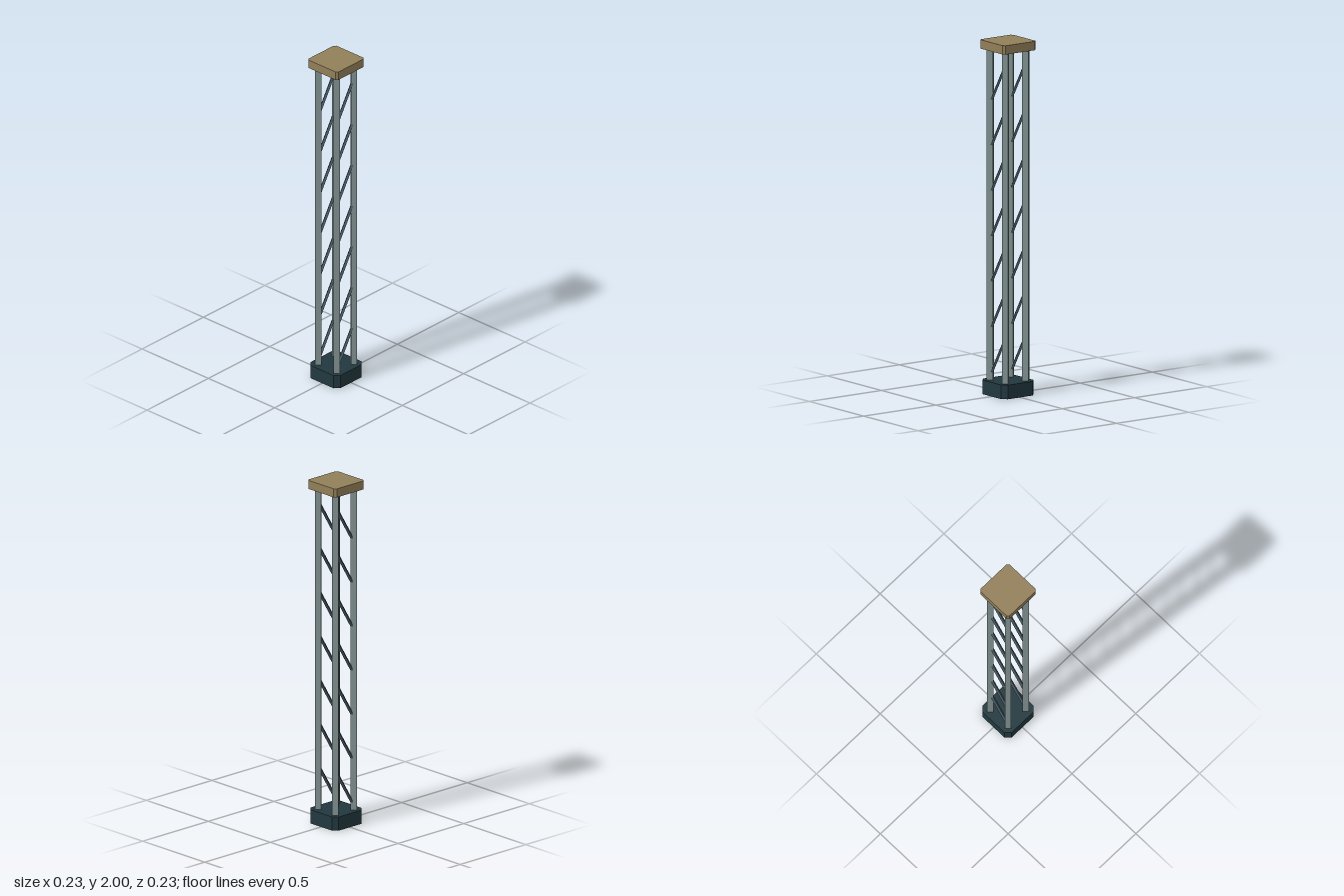
import * as THREE from 'three';

const material = (name, color) => {
  const m = new THREE.MeshStandardMaterial({ color, flatShading: true });
  m.name = name;
  return m;
};

// Square block with cut vertical corners, standing on y
function chamferedBlock(name, half, cut, y, height, mat) {
  const inner = half - cut;
  const shape = new THREE.Shape([
    [inner, -half], [half, -inner], [half, inner], [inner, half],
    [-inner, half], [-half, inner], [-half, -inner], [-inner, -half],
  ].map(([px, py]) => new THREE.Vector2(px, py)));
  const geo = new THREE.ExtrudeGeometry(shape, { depth: height, bevelEnabled: false });
  geo.rotateX(-Math.PI / 2);
  const mesh = new THREE.Mesh(geo, mat);
  mesh.name = name;
  mesh.position.y = y;
  return mesh;
}

// Four-sided bar between two points
function bar(name, from, to, radius, mat) {
  const dir = to.clone().sub(from);
  const mesh = new THREE.Mesh(new THREE.CylinderGeometry(radius, radius, dir.length(), 4), mat);
  mesh.name = name;
  mesh.position.copy(from).add(to).multiplyScalar(0.5);
  mesh.quaternion.setFromUnitVectors(new THREE.Vector3(0, 1, 0), dir.normalize());
  return mesh;
}

export function createModel() {
  const baseMat = material('dark slate', 0x21383f);
  const postMat = material('grey steel', 0x829392);
  const braceMat = material('blue grey steel', 0x465a64);
  const capMat = material('tan', 0x927f59);

  const group = new THREE.Group();
  group.name = 'latticeColumn';

  // Foot and top cap
  group.add(chamferedBlock('base', 0.113, 0.027, 0, 0.08, baseMat));
  group.add(chamferedBlock('cap', 0.113, 0.012, 1.95, 0.05, capMat));

  const offset = 0.07;
  for (const z of [offset, -offset]) {
    // Corner posts, diamond in section
    for (const x of [offset, -offset]) {
      group.add(bar('post', new THREE.Vector3(x, 0.07, z), new THREE.Vector3(x, 1.96, z), 0.025, postMat));
    }
    // Diagonal braces on the front and back, rising towards +x
    for (let i = 0; i < 7; i++) {
      const y = 0.217 + i * 0.257;
      group.add(bar('brace', new THREE.Vector3(-offset, y - 0.117, z),
        new THREE.Vector3(offset, y + 0.117, z), 0.01, braceMat));
    }
  }
  return group;
}
